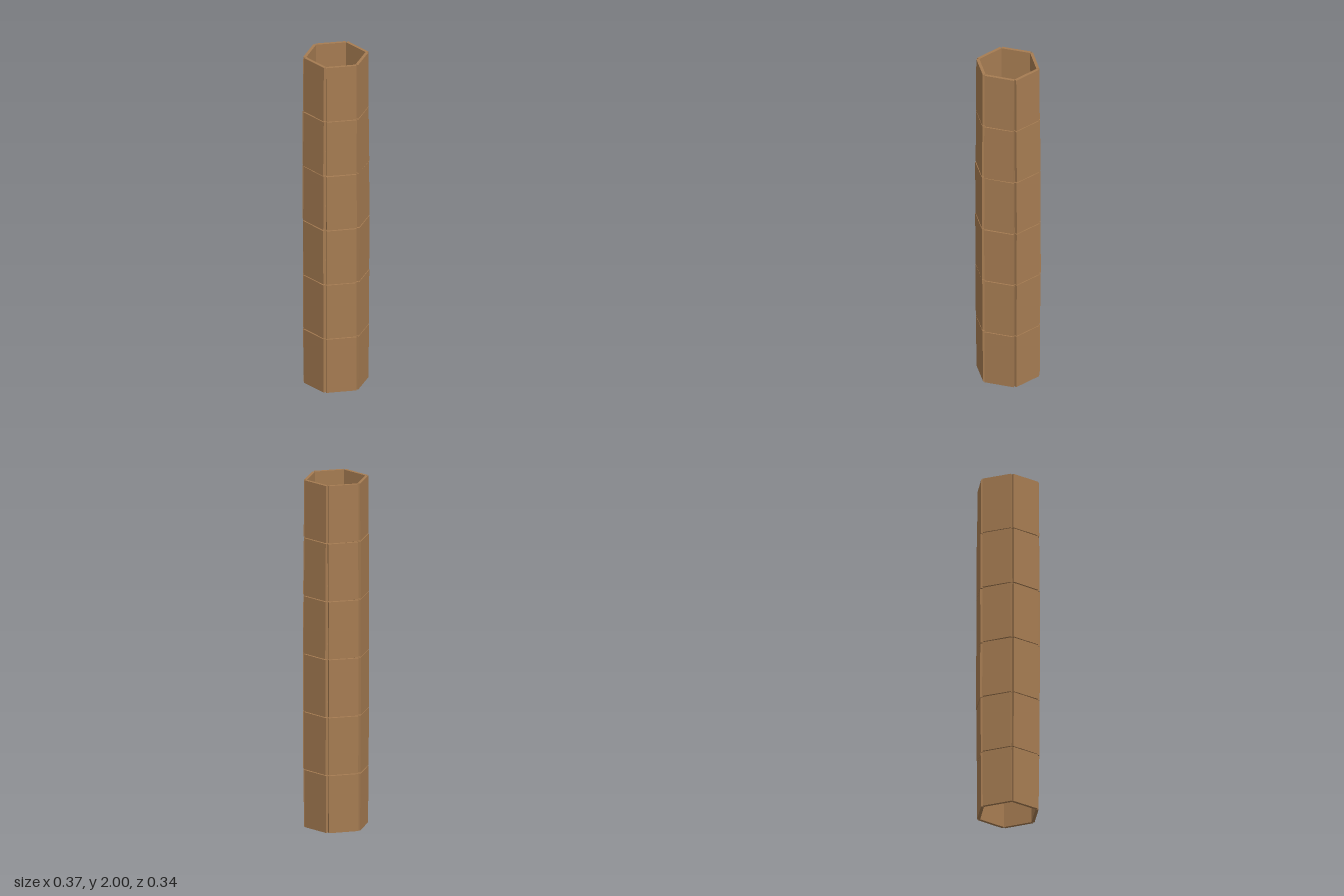
import * as THREE from 'three';

const SIDES = 6, ROWS = 6, HEIGHT = 2, GAP = 0.005;
const PANEL_W = 0.17, PANEL_T = 0.017;

// Small seeded noise in [-1, 1] for hand-laid irregularity
let seed = 7;
const jitter = () => {
  seed = (seed * 16807) % 2147483647;
  return (seed / 2147483647) * 2 - 1;
};

// Distance of a panel's middle from the axis: a slight swelling at mid height
const radiusAt = (y) => 0.152 + 0.006 * Math.sin((Math.PI * y) / HEIGHT);

export function createModel() {
  seed = 7;
  const model = new THREE.Group();
  model.name = 'hexagonalTube';
  const wood = new THREE.MeshStandardMaterial({ color: 0xa67c52, flatShading: true });
  const pitch = (HEIGHT + GAP) / ROWS;
  const panelH = pitch - GAP;
  const panelGeometry = new THREE.BoxGeometry(PANEL_W, panelH, PANEL_T);

  for (let row = 0; row < ROWS; row++) {
    const ring = new THREE.Group();
    ring.name = `ring${row + 1}`;
    const y0 = row * pitch, y1 = y0 + panelH;
    const r0 = radiusAt(y0), r1 = radiusAt(y1);
    const lean = Math.atan2(r1 - r0, panelH);

    // Six flat panels, each leaning to follow the swelling
    for (let i = 0; i < SIDES; i++) {
      const side = new THREE.Group();
      side.name = 'panelMount';
      side.rotation.y = (i * Math.PI * 2) / SIDES;
      const panel = new THREE.Mesh(panelGeometry, wood);
      panel.name = 'panel';
      panel.position.set(0.001 * jitter(), (y0 + y1) / 2, (r0 + r1) / 2 + 0.001 * jitter());
      panel.rotation.set(lean + 0.006 * jitter(), 0.008 * jitter(), 0.006 * jitter());
      side.add(panel);
      ring.add(side);
    }
    model.add(ring);
  }
  return model;
}
